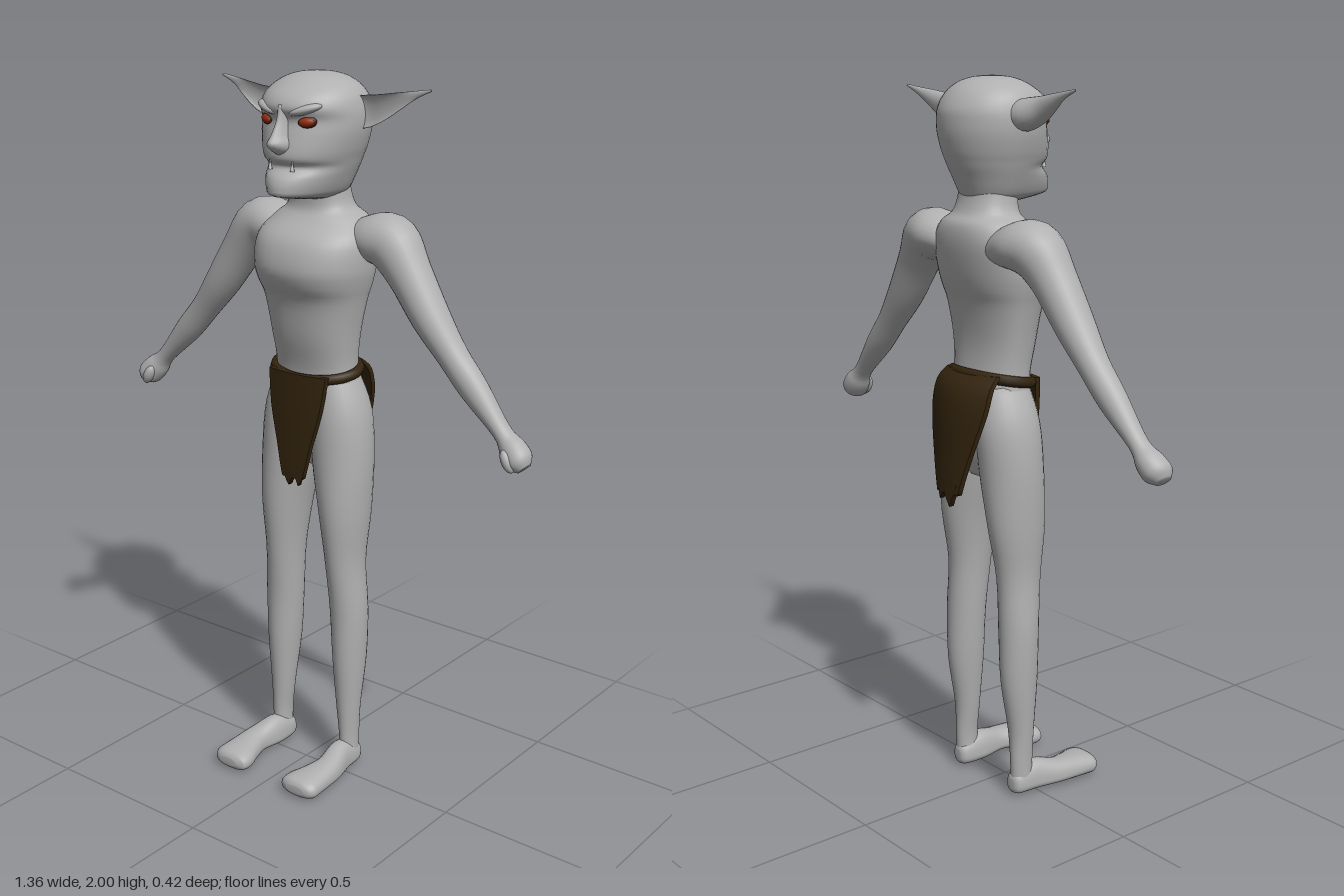
import * as THREE from 'three';

const mat = (name, color, side = THREE.FrontSide) => {
  const m = new THREE.MeshStandardMaterial({ color, side });
  m.name = name;
  return m;
};

// Catmull-Rom blend between rows of numbers
function resample(rows, steps) {
  const out = [];
  for (let i = 0; i < rows.length - 1; i++) {
    const [a, b, c, d] = [i - 1, i, i + 1, i + 2].map(k => rows[Math.min(Math.max(k, 0), rows.length - 1)]);
    for (let s = 0; s < steps; s++) {
      const t = s / steps;
      out.push(b.map((v, k) => v + 0.5 * t * (c[k] - a[k] +
        t * (2 * a[k] - 5 * v + 4 * c[k] - d[k] + t * (3 * (v - c[k]) + d[k] - a[k])))));
    }
  }
  out.push(rows[rows.length - 1]);
  return out;
}

// Smooth closed skin over rows [x, y, z, side radius, front radius, back radius]; the path bends in the xy plane
function loft(rows, power = 1, n = 28, steps = 4) {
  const r = resample(rows, steps), pos = [], idx = [];
  const shape = v => Math.sign(v) * Math.abs(v) ** power;
  r.forEach(([x, y, z, side, front, back], i) => {
    const a = r[Math.max(i - 1, 0)], b = r[Math.min(i + 1, r.length - 1)];
    const len = Math.hypot(b[0] - a[0], b[1] - a[1]);
    const nx = (b[1] - a[1]) / len, ny = -(b[0] - a[0]) / len;
    for (let j = 0; j < n; j++) {
      const c = shape(Math.cos(j / n * Math.PI * 2)) * side, s = shape(Math.sin(j / n * Math.PI * 2));
      pos.push(x + nx * c, y + ny * c, z + s * (s > 0 ? front : back));
    }
  });
  for (let i = 0; i < r.length - 1; i++) for (let j = 0; j < n; j++) {
    const p = i * n + j, q = i * n + (j + 1) % n;
    idx.push(p, p + n, q, q, p + n, q + n);
  }
  const first = r.length * n, top = first - n;
  pos.push(...r[0].slice(0, 3), ...r[r.length - 1].slice(0, 3));
  for (let j = 0; j < n; j++) {
    const k = (j + 1) % n;
    idx.push(first, j, k, first + 1, top + k, top + j);
  }
  const g = new THREE.BufferGeometry();
  g.setAttribute('position', new THREE.Float32BufferAttribute(pos, 3));
  g.setIndex(idx);
  g.computeVertexNormals();
  return g;
}

// Thin hanging cloth from rows [y, half width, z], curved across and torn at the hem
function clothPanel(rows, curve, hem) {
  const r = resample(rows, 3), n = r.length - 1;
  const g = new THREE.BoxGeometry(1, 1, 1, hem.length - 1, n, 1), p = g.attributes.position;
  for (let i = 0; i < p.count; i++) {
    const u = p.getX(i), k = Math.round((0.5 - p.getY(i)) * n);
    const [y, half, z] = r[k], x = u * 2 * half;
    const tear = k === n ? hem[Math.round((u + 0.5) * (hem.length - 1))] : 0;
    p.setXYZ(i, x, y + tear, z + curve * x * x + p.getZ(i) * 0.016);
  }
  g.computeVertexNormals();
  return g;
}

export function createModel() {
  const skin = mat('grey skin', 0xb0b0b0);
  const leather = mat('dark leather', 0x33240e);
  const red = mat('red eye', 0x96300f);
  const rim = mat('dark eyelid', 0x3c1c14);
  const bone = mat('fang', 0xc4c4c4);

  const model = new THREE.Group();
  const add = (parent, name, geometry, material) => {
    const m = new THREE.Mesh(geometry, material);
    m.name = name;
    parent.add(m);
    return m;
  };
  const ball = (parent, name, material, at, size, rot = [0, 0, 0]) => {
    const m = add(parent, name, new THREE.SphereGeometry(1, 20, 14), material);
    m.position.set(...at);
    m.scale.set(...size);
    m.rotation.set(...rot);
  };

  // Torso from pelvis to neck
  add(model, 'torso', loft([
    [0, 0.93, -0.05, 0.05, 0.05, 0.06], [0, 1.0, -0.05, 0.1, 0.075, 0.09],
    [0, 1.1, -0.05, 0.14, 0.082, 0.1], [0, 1.2, -0.05, 0.124, 0.08, 0.08],
    [0, 1.3, -0.05, 0.133, 0.102, 0.07], [0, 1.4, -0.05, 0.152, 0.118, 0.082],
    [0, 1.45, -0.05, 0.165, 0.145, 0.1], [0, 1.5, -0.05, 0.174, 0.156, 0.113],
    [0, 1.57, -0.06, 0.172, 0.145, 0.113], [0, 1.62, -0.07, 0.135, 0.1, 0.098],
    [0, 1.65, -0.065, 0.096, 0.075, 0.08], [0, 1.7, -0.06, 0.083, 0.07, 0.07],
    [0, 1.76, -0.06, 0.08, 0.06, 0.07]], 0.88, 36), skin);

  // Head with jutting jaw, mouth notch and brow ridge
  add(model, 'head', loft([
    [0, 1.675, -0.05, 0.06, 0.07, 0.06], [0, 1.69, -0.045, 0.082, 0.165, 0.085],
    [0, 1.71, -0.045, 0.095, 0.178, 0.095], [0, 1.74, -0.045, 0.108, 0.168, 0.108],
    [0, 1.765, -0.045, 0.118, 0.142, 0.12], [0, 1.785, -0.045, 0.125, 0.158, 0.128],
    [0, 1.81, -0.045, 0.134, 0.158, 0.137], [0, 1.85, -0.045, 0.144, 0.148, 0.146],
    [0, 1.885, -0.045, 0.147, 0.14, 0.148], [0, 1.915, -0.045, 0.144, 0.155, 0.145],
    [0, 1.945, -0.045, 0.134, 0.14, 0.13], [0, 1.97, -0.045, 0.112, 0.106, 0.108],
    [0, 1.988, -0.045, 0.079, 0.072, 0.078], [0, 1.997, -0.045, 0.044, 0.04, 0.044],
    [0, 2.0, -0.045, 0.008, 0.008, 0.008]], 1, 36), skin);
  add(model, 'nose', loft([
    [0, 1.797, 0.09, 0.008, 0.022, 0.02], [0, 1.81, 0.09, 0.026, 0.046, 0.02],
    [0, 1.828, 0.09, 0.029, 0.064, 0.02], [0, 1.85, 0.085, 0.021, 0.055, 0.02],
    [0, 1.885, 0.08, 0.015, 0.04, 0.02], [0, 1.925, 0.08, 0.014, 0.03, 0.02]], 1, 20), skin);

  // Waist belt, higher at the back
  const ring = Array.from({ length: 16 }, (_, i) => {
    const a = i / 8 * Math.PI;
    return new THREE.Vector3(0.129 * Math.cos(a), 1.202 - 0.016 * Math.sin(a), -0.047 + 0.088 * Math.sin(a));
  });
  add(model, 'belt', new THREE.TubeGeometry(new THREE.CatmullRomCurve3(ring, true), 48, 0.015, 8, true), leather);
  add(model, 'frontCloth', clothPanel([
    [1.2, 0.098, 0.047], [1.1, 0.084, 0.053], [1.0, 0.058, 0.056], [0.93, 0.042, 0.058],
    [0.895, 0.032, 0.058]], -1.4, [0.03, 0, -0.015, 0.01, 0.015, -0.012, 0.03]), leather);
  add(model, 'backCloth', clothPanel([
    [1.222, 0.108, -0.14], [1.19, 0.114, -0.175], [1.12, 0.11, -0.193], [1.0, 0.075, -0.199],
    [0.93, 0.054, -0.202], [0.885, 0.042, -0.203]], 2.6, [0.04, 0.01, -0.025, 0, 0.02, -0.01, 0.03]), leather);

  // Everything that exists on both sides
  for (const s of [1, -1]) {
    const half = new THREE.Group();
    half.name = s > 0 ? 'leftSide' : 'rightSide';
    half.scale.x = s;
    model.add(half);

    add(half, 'leg', loft([
      [0.124, 0.02, -0.043, 0.028, 0.033, 0.034], [0.125, 0.1, -0.045, 0.026, 0.035, 0.035],
      [0.122, 0.2, -0.045, 0.034, 0.04, 0.038], [0.12, 0.35, -0.05, 0.046, 0.056, 0.056],
      [0.117, 0.5, -0.05, 0.053, 0.06, 0.058], [0.108, 0.65, -0.045, 0.053, 0.07, 0.064],
      [0.103, 0.8, -0.045, 0.068, 0.085, 0.088], [0.09, 0.95, -0.05, 0.085, 0.088, 0.094],
      [0.079, 1.08, -0.05, 0.083, 0.082, 0.1], [0.06, 1.18, -0.05, 0.062, 0.065, 0.08]]), skin);

    // Foot is lofted upright, then laid forward
    add(half, 'foot', loft([
      [0.123, -0.081, -0.035, 0.012, 0.015, 0.018], [0.123, -0.066, -0.033, 0.029, 0.027, 0.04],
      [0.124, 0, -0.03, 0.035, 0.025, 0.062], [0.137, 0.07, -0.03, 0.04, 0.023, 0.045],
      [0.133, 0.13, -0.03, 0.05, 0.026, 0.038], [0.126, 0.18, -0.03, 0.06, 0.029, 0.033],
      [0.126, 0.203, -0.03, 0.052, 0.022, 0.025], [0.126, 0.212, -0.03, 0.03, 0.01, 0.012]], 0.85), skin)
      .rotation.x = Math.PI / 2;

    add(half, 'arm', loft([
      [0.09, 1.555, -0.085, 0.045, 0.055, 0.065], [0.165, 1.572, -0.085, 0.065, 0.08, 0.085],
      [0.225, 1.564, -0.082, 0.074, 0.075, 0.08], [0.285, 1.495, -0.075, 0.06, 0.062, 0.062],
      [0.36, 1.388, -0.07, 0.051, 0.054, 0.054], [0.43, 1.3, -0.07, 0.041, 0.043, 0.043],
      [0.5, 1.222, -0.068, 0.039, 0.037, 0.039], [0.59, 1.127, -0.065, 0.024, 0.028, 0.028],
      [0.625, 1.09, -0.06, 0.035, 0.036, 0.04], [0.652, 1.062, -0.055, 0.036, 0.038, 0.042],
      [0.668, 1.045, -0.052, 0.018, 0.02, 0.024]]), skin);
    ball(half, 'thumb', skin, [0.632, 1.065, -0.028], [0.016, 0.032, 0.018], [0, 0, 0.5]);

    // Long cupped ear, hollow toward the front
    add(half, 'ear', loft([
      [0.1, 1.9, -0.06, 0.03, 0.012, 0.035], [0.145, 1.903, -0.05, 0.042, -0.012, 0.045],
      [0.2, 1.917, -0.046, 0.035, -0.014, 0.028], [0.25, 1.936, -0.052, 0.023, -0.006, 0.018],
      [0.3, 1.955, -0.062, 0.01, 0.004, 0.008], [0.345, 1.968, -0.065, 0.003, 0.003, 0.003]], 1, 20), skin);

    // Face details
    ball(half, 'brow', skin, [0.06, 1.914, 0.08], [0.046, 0.013, 0.022], [0, 0.4, 0.25]);
    ball(half, 'eyelid', rim, [0.065, 1.883, 0.077], [0.026, 0.0165, 0.011], [0, 0.35, 0.1]);
    ball(half, 'eye', red, [0.066, 1.883, 0.081], [0.021, 0.012, 0.011], [0, 0.35, 0.1]);
    const fang = add(half, 'fang', new THREE.ConeGeometry(0.006, 0.034, 8), bone);
    fang.position.set(0.037, 1.775, 0.104);
  }
  return model;
}
